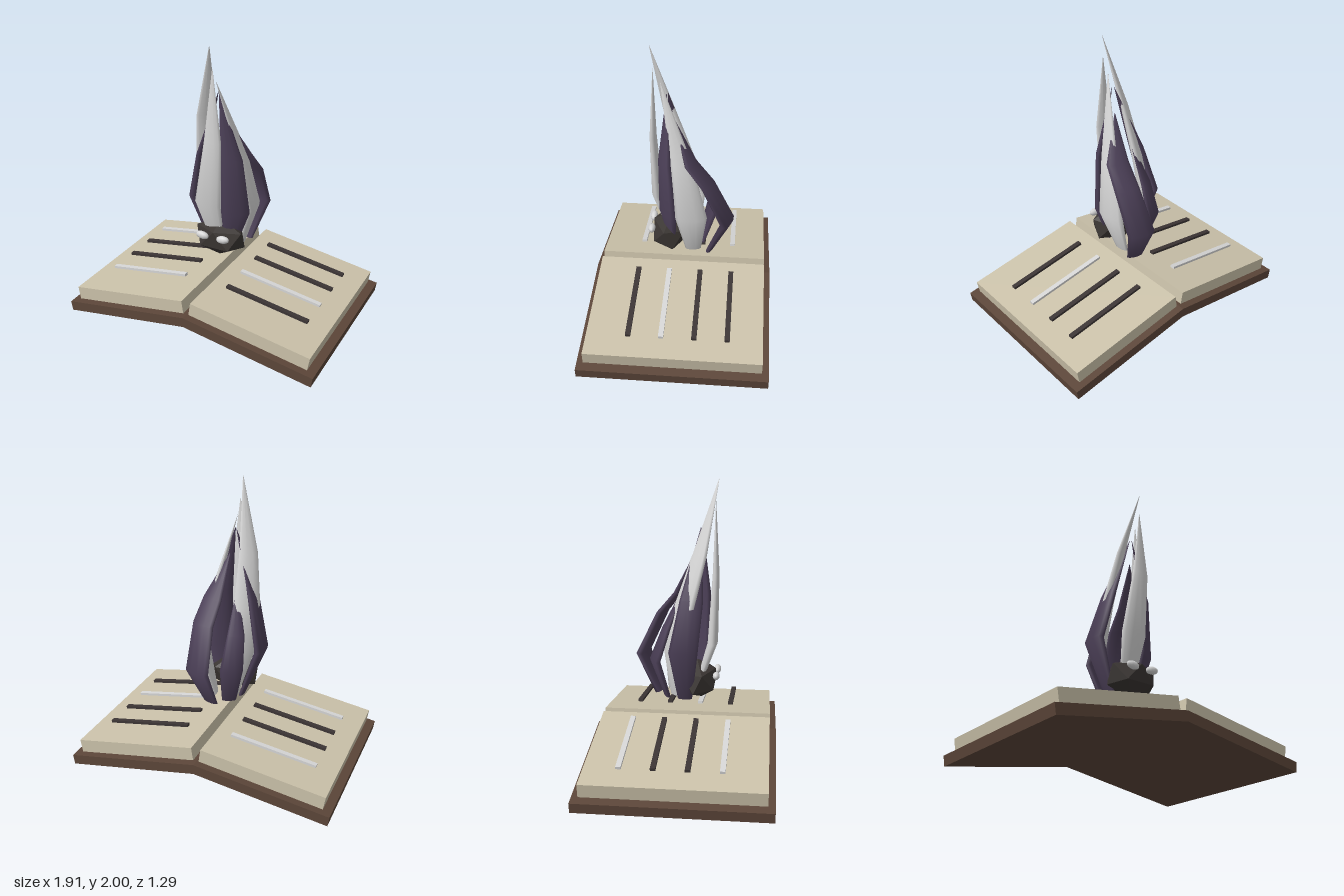
import * as THREE from 'three';

const material = (name, color) => {
  const m = new THREE.MeshStandardMaterial({ color });
  m.name = name;
  return m;
};

export function createModel() {
  const model = new THREE.Group();
  model.name = 'bookWithFlame';
  const cover = material('coverBrown', 0x5c4639);
  const paper = material('paperCream', 0xcbc2aa);
  const ink = material('inkDark', 0x3c3535);
  const silver = material('silver', 0xd6d6d6);
  const purple = material('purple', 0x4c4058);
  const skin = material('headDark', 0x3a3532);
  skin.flatShading = true;

  const add = (parent, name, geometry, mat, x = 0, y = 0, z = 0) => {
    const mesh = new THREE.Mesh(geometry, mat);
    mesh.name = name;
    mesh.position.set(x, y, z);
    parent.add(mesh);
    return mesh;
  };

  // Profile in x and y, extruded evenly about z = 0
  const slab = (points, depth) => {
    const shape = new THREE.Shape(points.map(([x, y]) => new THREE.Vector2(x, y)));
    return new THREE.ExtrudeGeometry(shape, { depth, bevelEnabled: false }).translate(0, 0, -depth / 2);
  };

  // Open book: roof-shaped cover and two page blocks
  const book = new THREE.Group();
  book.name = 'book';
  model.add(book);
  add(book, 'cover', slab([[-0.942, 0], [0, 0.155], [0.942, 0], [0.953, 0.07], [0, 0.226], [-0.953, 0.07]], 1.29), cover);
  const tilt = 0.163;
  for (const s of [-1, 1]) {
    const block = [[0.02, 0.232], [0.895, 0.087], [0.911, 0.18], [0.034, 0.325]];
    add(book, s < 0 ? 'rightPages' : 'leftPages', slab(block.map(([x, y]) => [s * x, y]), 1.2), paper);

    // Floating bars of writing
    const silverRows = s < 0 ? [0, 3] : [2];
    for (let i = 0; i < 4; i++) {
      const bar = add(book, 'writingBar', new THREE.BoxGeometry(0.62, 0.018, 0.035),
        silverRows.includes(i) ? silver : ink, s * 0.47, 0.292, -0.36 + i * 0.223);
      bar.rotation.z = -s * tilt;
    }
  }

  // Faceted head with two eyes
  const spirit = new THREE.Group();
  spirit.name = 'spirit';
  model.add(spirit);
  const skull = new THREE.IcosahedronGeometry(1, 0).rotateX(-1.13).scale(0.205, 0.14, 0.14);
  add(spirit, 'head', skull, skin, 0, 0.595, 0.093);
  for (const s of [-1, 1]) {
    const eye = add(spirit, 'eye', new THREE.SphereGeometry(1, 10, 8), silver, s * 0.08, 0.64, 0.218);
    eye.scale.set(0.05, 0.028, 0.025);
    eye.rotation.z = s * 0.12;
  }

  // Leaf-like blade: oval sections [x, y, z, half width] facing the given angle
  const SIDES = 10;
  const blade = (angle, rows) => {
    const positions = [], index = [];
    const c = Math.cos(angle), n = Math.sin(angle);
    rows.forEach(([x, y, z, w], r) => {
      for (let k = 0; k < SIDES; k++) {
        const a = (k / SIDES) * Math.PI * 2;
        const u = Math.max(w, 0.002) * Math.cos(a);
        const v = -Math.max(w, 0.002) * 0.36 * Math.sin(a);
        positions.push(x + u * c + v * n, y, z - u * n + v * c);
        if (r === rows.length - 1) continue;
        const p = r * SIDES + k, q = r * SIDES + (k + 1) % SIDES;
        index.push(p, q, p + SIDES, q, q + SIDES, p + SIDES);
      }
    });
    for (let k = 1; k < SIDES - 1; k++) index.push(0, k + 1, k);
    const geometry = new THREE.BufferGeometry();
    geometry.setAttribute('position', new THREE.Float32BufferAttribute(positions, 3));
    geometry.setIndex(index);
    geometry.computeVertexNormals();
    return geometry;
  };

  // Ring of flame blades leaning toward the front
  const blades = [
    ['frontBlade', silver, 0,
      [[-0.03, 0.5, 0.07, 0.05], [-0.05, 0.88, 0.19, 0.1], [0, 1.35, 0.205, 0.065], [0, 1.85, 0.2, 0]]],
    ['tallBlade', silver, -2.36,
      [[-0.05, 0.48, -0.07, 0.05], [-0.13, 0.85, -0.08, 0.1], [-0.13, 1.15, 0, 0.1], [-0.1, 1.5, 0.1, 0.07], [-0.01, 2, 0.22, 0]]],
    ['leftBlade', silver, 1.7,
      [[0.08, 0.48, -0.08, 0.055], [0.17, 0.8, -0.07, 0.11], [0.12, 1.2, 0, 0.075], [0, 1.75, 0.15, 0]]],
    ['frontLeftBlade', purple, 0.6,
      [[0.06, 0.5, 0.07, 0.04], [0.12, 0.8, 0.1, 0.1], [0.1, 1.2, 0.12, 0.075], [0, 1.67, 0.11, 0]]],
    ['backBlade', purple, 2.84,
      [[0.06, 0.47, -0.2, 0.06], [0.11, 0.75, -0.32, 0.1], [0.12, 1.05, -0.18, 0.09], [0.1, 1.2, -0.06, 0.08], [0.02, 1.5, 0.06, 0]]],
    ['rightBlade', purple, -1.57,
      [[-0.1, 0.47, 0, 0.05], [-0.24, 0.85, 0, 0.1], [-0.16, 1.2, 0.05, 0.08], [-0.01, 1.67, 0.1, 0]]],
    ['backRightBlade', purple, -2.7,
      [[-0.05, 0.47, -0.13, 0.05], [-0.1, 0.75, -0.21, 0.08], [-0.1, 0.98, -0.13, 0.06], [-0.06, 1.3, 0, 0]]],
  ];
  for (const [name, mat, angle, rows] of blades) add(spirit, name, blade(angle, rows), mat);

  return model;
}
